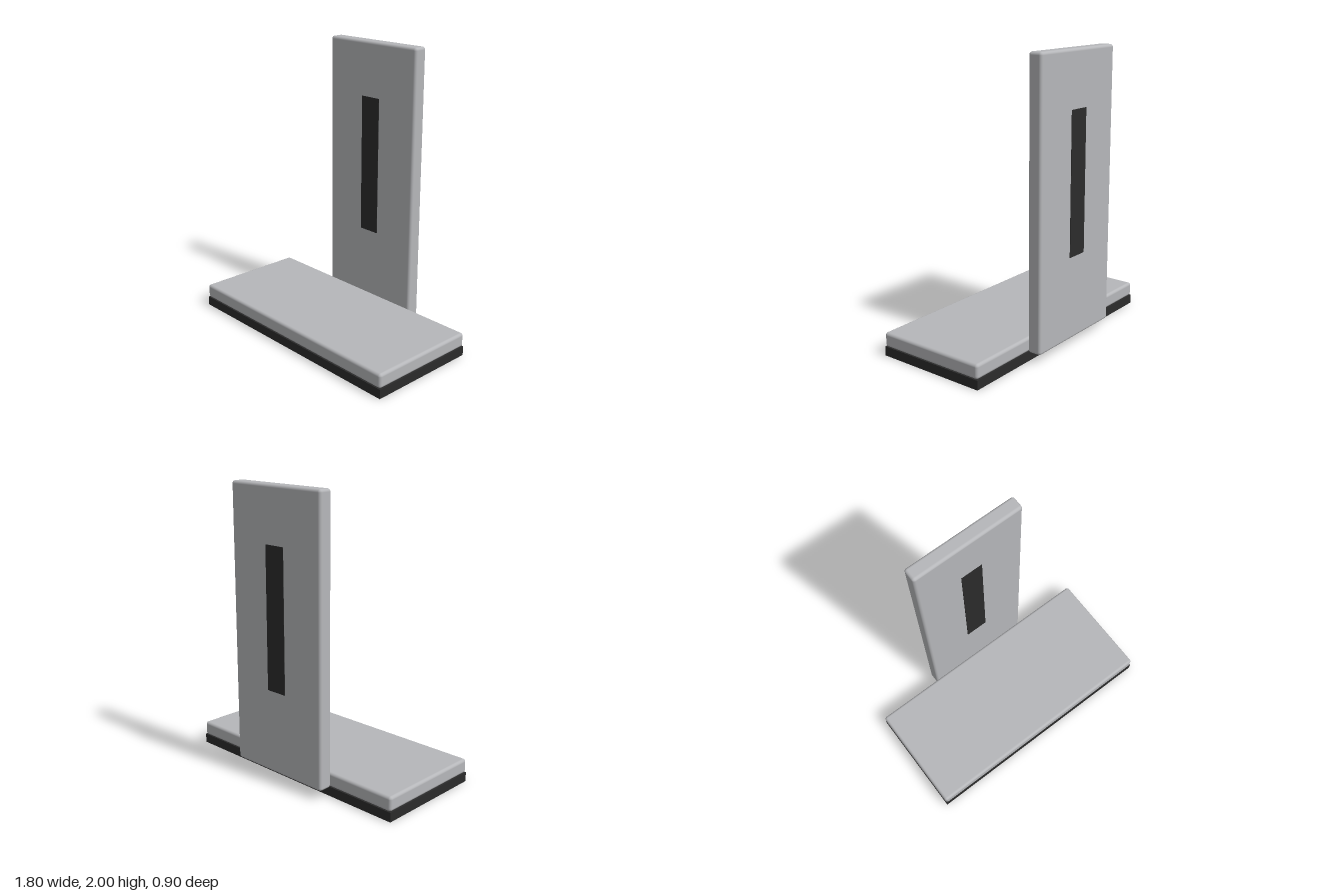
import * as THREE from 'three';
import { RoundedBoxGeometry } from 'three/addons/geometries/RoundedBoxGeometry.js';

export function createModel() {
  const model = new THREE.Group();
  model.name = 'stand';

  const grey = new THREE.MeshStandardMaterial({ color: 0xb6b7ba });
  grey.name = 'silver grey';
  const black = new THREE.MeshStandardMaterial({ color: 0x2b2b2b });
  black.name = 'rubber black';

  // Adds a box spanning two corners, with rounded edges when a radius is given
  function addBox(name, material, min, max, radius = 0) {
    const size = max.map((v, i) => v - min[i]);
    const geometry = radius
      ? new RoundedBoxGeometry(...size, 4, radius)
      : new THREE.BoxGeometry(...size);
    const mesh = new THREE.Mesh(geometry, material);
    mesh.name = name;
    mesh.position.set(...max.map((v, i) => (v + min[i]) / 2));
    model.add(mesh);
  }

  // Foot: sharp-edged pad under a rounded plate
  addBox('basePad', black, [-0.9, 0, -0.35], [0.9, 0.065, 0.45]);
  addBox('basePlate', grey, [-0.9, 0.065, -0.35], [0.9, 0.165, 0.45], 0.02);

  // Upright panel standing behind the foot
  addBox('uprightPanel', grey, [-0.4, 0.065, -0.45], [0.4, 2, -0.35], 0.02);

  // Dark strip passing through the panel, just proud of both faces
  addBox('centreStrip', black, [-0.08, 0.645, -0.453], [0.08, 1.62, -0.347]);

  return model;
}
